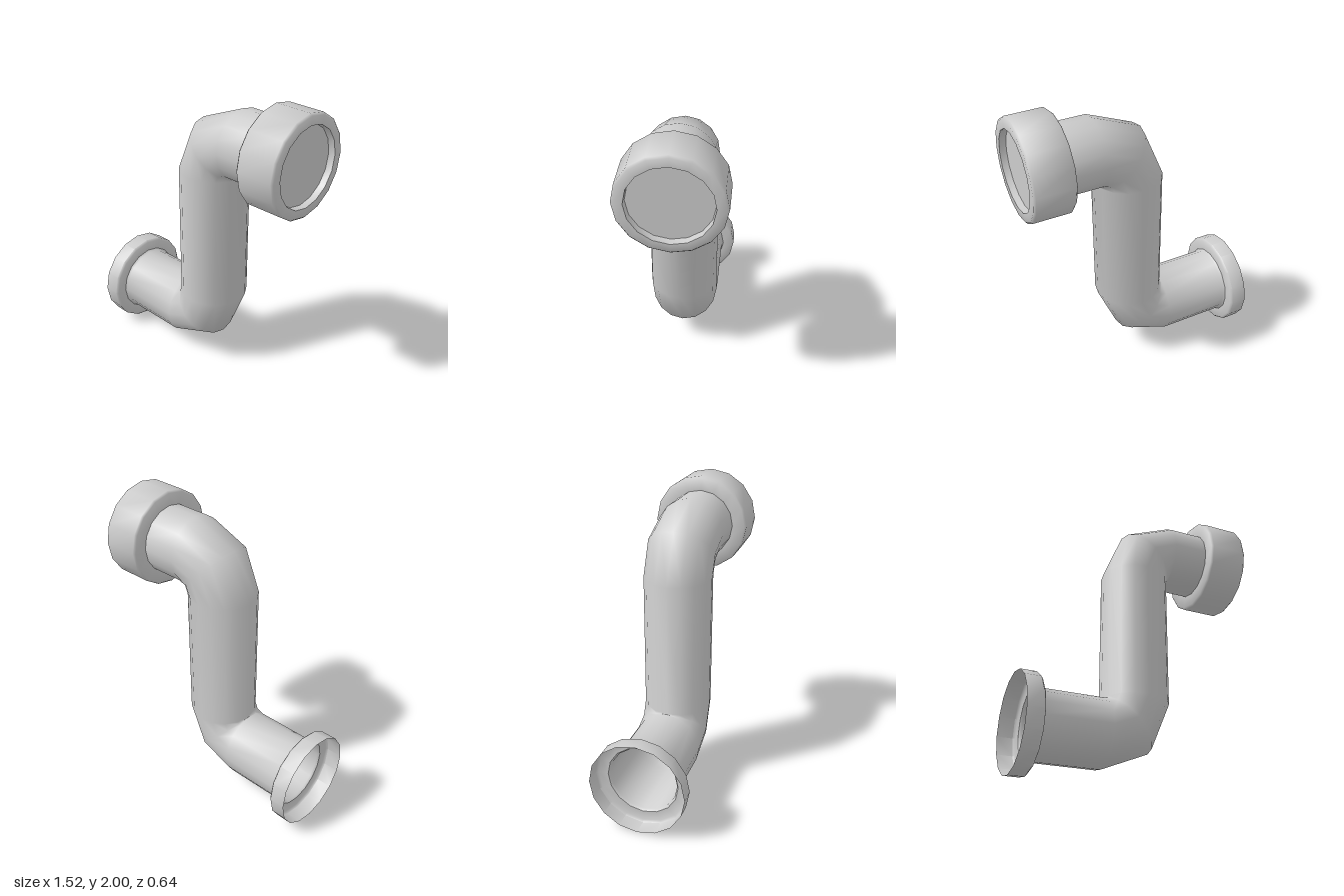
import * as THREE from 'three';
import { toCreasedNormals } from 'three/addons/utils/BufferGeometryUtils.js';

const SIDES = 16;
const LOW_Y = 0.32, HIGH_Y = 1.68; // axes of the two horizontal runs
const PIPE_R = 0.225, BEND_R = 0.227;

const material = new THREE.MeshStandardMaterial({ color: 0xcccccc, side: THREE.DoubleSide });

// Skin a row of rings; each ring is [x, y, radius, heading angle in the xy plane]
function loft(name, rings) {
  const positions = [], index = [];
  for (const [x, y, r, a = 0] of rings) {
    for (let j = 0; j < SIDES; j++) {
      const t = (j / SIDES) * Math.PI * 2, n = r * Math.cos(t);
      positions.push(x - Math.sin(a) * n, y + Math.cos(a) * n, r * Math.sin(t));
    }
  }
  for (let i = 0; i < rings.length - 1; i++) {
    for (let j = 0; j < SIDES; j++) {
      const k = (j + 1) % SIDES;
      const A = i * SIDES + j, B = i * SIDES + k, C = A + SIDES, D = B + SIDES;
      index.push(A, B, C, B, D, C);
    }
  }
  const geometry = new THREE.BufferGeometry();
  geometry.setAttribute('position', new THREE.Float32BufferAttribute(positions, 3));
  geometry.setIndex(index);
  const mesh = new THREE.Mesh(toCreasedNormals(geometry, THREE.MathUtils.degToRad(50)), material);
  mesh.name = name;
  return mesh;
}

// Rings of a two-segment elbow about a pivot; side is +1 turning up, -1 turning back
function elbow(px, py, side) {
  const angles = [0, Math.PI / 4, Math.PI / 2];
  if (side < 0) angles.reverse();
  return angles.map((a) => [
    px + side * BEND_R * Math.sin(a),
    py - side * BEND_R * Math.cos(a),
    PIPE_R, a,
  ]);
}

export function createModel() {
  const group = new THREE.Group();
  group.name = 'offsetPipe';

  // S-shaped pipe with a small fillet where it leaves the flange
  group.add(loft('pipe', [
    [-0.645, LOW_Y, 0.237],
    [-0.63, LOW_Y, PIPE_R],
    ...elbow(-0.191, LOW_Y + BEND_R, 1),
    ...elbow(0.263, HIGH_Y - BEND_R, -1),
    [0.495, HIGH_Y, PIPE_R],
  ]));

  // Open, thin-walled flange at the lower end
  group.add(loft('inletFlange', [
    [-0.76, LOW_Y, 0.317],
    [-0.658, LOW_Y, 0.317],
    [-0.645, LOW_Y, 0.303],
    [-0.645, LOW_Y, 0.237],
  ]));

  // Thick collar at the upper end, closed by a recessed disc
  group.add(loft('outletCollar', [
    [0.493, HIGH_Y, PIPE_R],
    [0.493, HIGH_Y, 0.307],
    [0.506, HIGH_Y, 0.32],
    [0.744, HIGH_Y, 0.32],
    [0.757, HIGH_Y, 0.307],
    [0.757, HIGH_Y, 0.252],
    [0.715, HIGH_Y, 0.248],
  ]));
  group.add(loft('outletDisc', [
    [0.715, HIGH_Y, 0.248],
    [0.715, HIGH_Y, 0],
  ]));

  return group;
}
